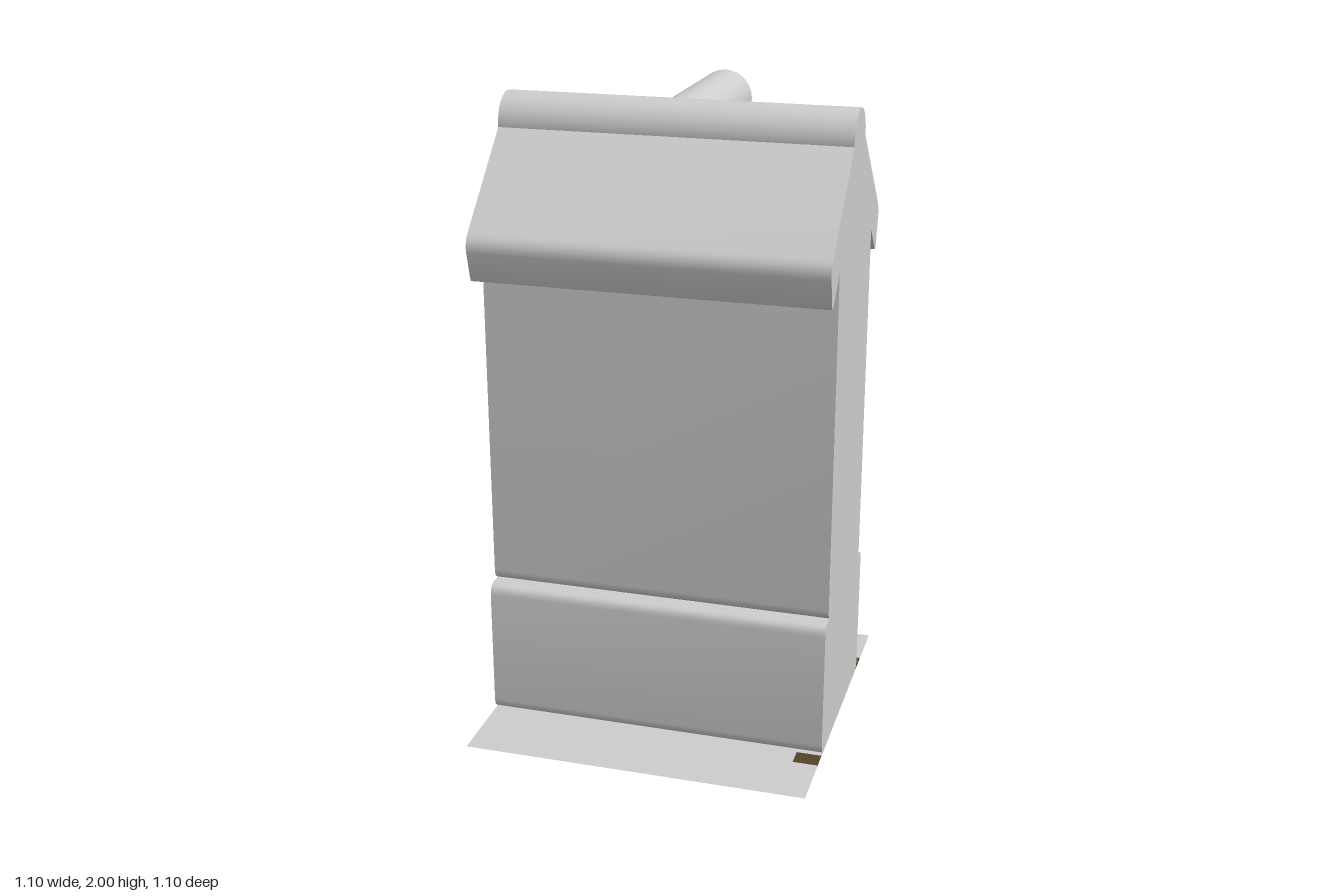
import * as THREE from 'three';
import { toCreasedNormals } from 'three/addons/utils/BufferGeometryUtils.js';

const HALF = 0.55; // half the tile width

// Closed shape from corner points [x, y, radius], rounding corners that have a radius
function roundedShape(points) {
  const shape = new THREE.Shape();
  points.forEach(([x, y, r = 0], i) => {
    const p = new THREE.Vector2(x, y);
    const toward = (q) => new THREE.Vector2(q[0], q[1]).sub(p).setLength(r).add(p);
    const a = r ? toward(points[(i + points.length - 1) % points.length]) : p;
    const b = r ? toward(points[(i + 1) % points.length]) : p;
    if (i === 0) shape.moveTo(a.x, a.y);
    else shape.lineTo(a.x, a.y);
    if (r) shape.quadraticCurveTo(p.x, p.y, b.x, b.y);
  });
  shape.closePath();
  return shape;
}

function extrude(points, depth) {
  return new THREE.ExtrudeGeometry(roundedShape(points), { depth, bevelEnabled: false, curveSegments: 5 });
}

// Roof slab on the -z side of a ridge along x; a mitred slab starts on the valley diagonal
function roofSlab(mitred) {
  const geo = extrude([
    [0, 1.83], [0.352, 1.475, 0.025], [0.388, 1.613, 0.035], [0.09, 1.9], [0, 1.98],
  ], 1);
  const pos = geo.attributes.position;
  for (let i = 0; i < pos.count; i++) {
    const out = pos.getX(i);
    const start = mitred ? out : -HALF;
    pos.setXYZ(i, start + pos.getZ(i) * (HALF - start), pos.getY(i), -out);
  }
  return toCreasedNormals(geo, 0.6);
}

export function createModel() {
  const model = new THREE.Group();
  const stone = new THREE.MeshStandardMaterial({ color: 0xcdcdcd, side: THREE.DoubleSide });
  stone.name = 'light grey stone';
  const soil = new THREE.MeshStandardMaterial({ color: 0x57422a, side: THREE.DoubleSide });
  soil.name = 'brown soil';

  const add = (name, geo, material = stone) => {
    const mesh = new THREE.Mesh(geo, material);
    mesh.name = name;
    model.add(mesh);
    return mesh;
  };

  // Cross-sections of the plinth and the gabled wall
  const plinth = [[-0.3, 0.004, 0.035], [0.3, 0.004, 0.035], [0.3, 0.455, 0.035], [-0.3, 0.455, 0.035]];
  const wall = [
    [-0.257, 0.455, 0.035], [0.257, 0.455, 0.035], [0.257, 1.6], [0, 1.86], [-0.257, 1.6],
  ];

  // Straight run along x, and a branch toward the back
  for (const [name, profile] of [['Plinth', plinth], ['Wall', wall]]) {
    const main = toCreasedNormals(extrude(profile, 2 * HALF).translate(0, 0, -HALF).rotateY(Math.PI / 2), 0.6);
    add('main' + name, main);
    add('branch' + name, toCreasedNormals(extrude(profile, HALF).translate(0, 0, -HALF), 0.6));
  }

  // Front roof slab over the whole run
  add('frontRoof', roofSlab(false)).rotation.y = Math.PI;

  // Back slabs meet the branch slabs in two mitred valleys
  const half = roofSlab(true);
  add('backRoofLeft', half);
  add('backRoofRight', half).scale.x = -1;
  const branchLeft = add('branchRoofLeft', half);
  branchLeft.rotation.y = -Math.PI / 2;
  branchLeft.scale.x = -1;
  add('branchRoofRight', half).rotation.y = Math.PI / 2;

  // Round ridge caps
  const ridge = (length) => new THREE.CylinderGeometry(0.09, 0.09, length, 24);
  add('mainRidge', ridge(2 * HALF).rotateZ(Math.PI / 2).translate(0, 1.91, 0));
  add('branchRidge', ridge(HALF).rotateX(Math.PI / 2).translate(0, 1.91, -HALF / 2));

  // Square ground sheet
  add('ground', new THREE.PlaneGeometry(2 * HALF, 2 * HALF).rotateX(-Math.PI / 2).translate(0, 0.003, 0));

  // Bare soil showing beside the plinth: [name, width, depth, x, y, z]
  for (const [name, width, depth, x, y, z] of [
    ['soilBackLeft', 0.26, 0.08, 0.42, 0.005, -0.33],
    ['soilBackRight', 0.26, 0.08, -0.42, 0.005, -0.33],
    ['soilFrontLeft', 0.08, 0.06, 0.51, 0.005, 0.33],
    ['soilUnderRight', 0.12, 0.06, -0.41, 0, -0.36],
  ]) {
    add(name, new THREE.PlaneGeometry(width, depth).rotateX(-Math.PI / 2).translate(x, y, z), soil);
  }

  // Irregular soil patch under the ground, outlined in x and z
  const outline = [
    [0.47, -0.25], [0.08, 0.03], [-0.44, 0.2], [-0.55, 0.36], [0.2, 0.27], [0.55, 0.37], [0.28, 0.12],
  ];
  const patch = new THREE.Shape(outline.map(([x, z]) => new THREE.Vector2(x, z)));
  add('soilPatch', new THREE.ShapeGeometry(patch).rotateX(Math.PI / 2), soil);

  return model;
}
